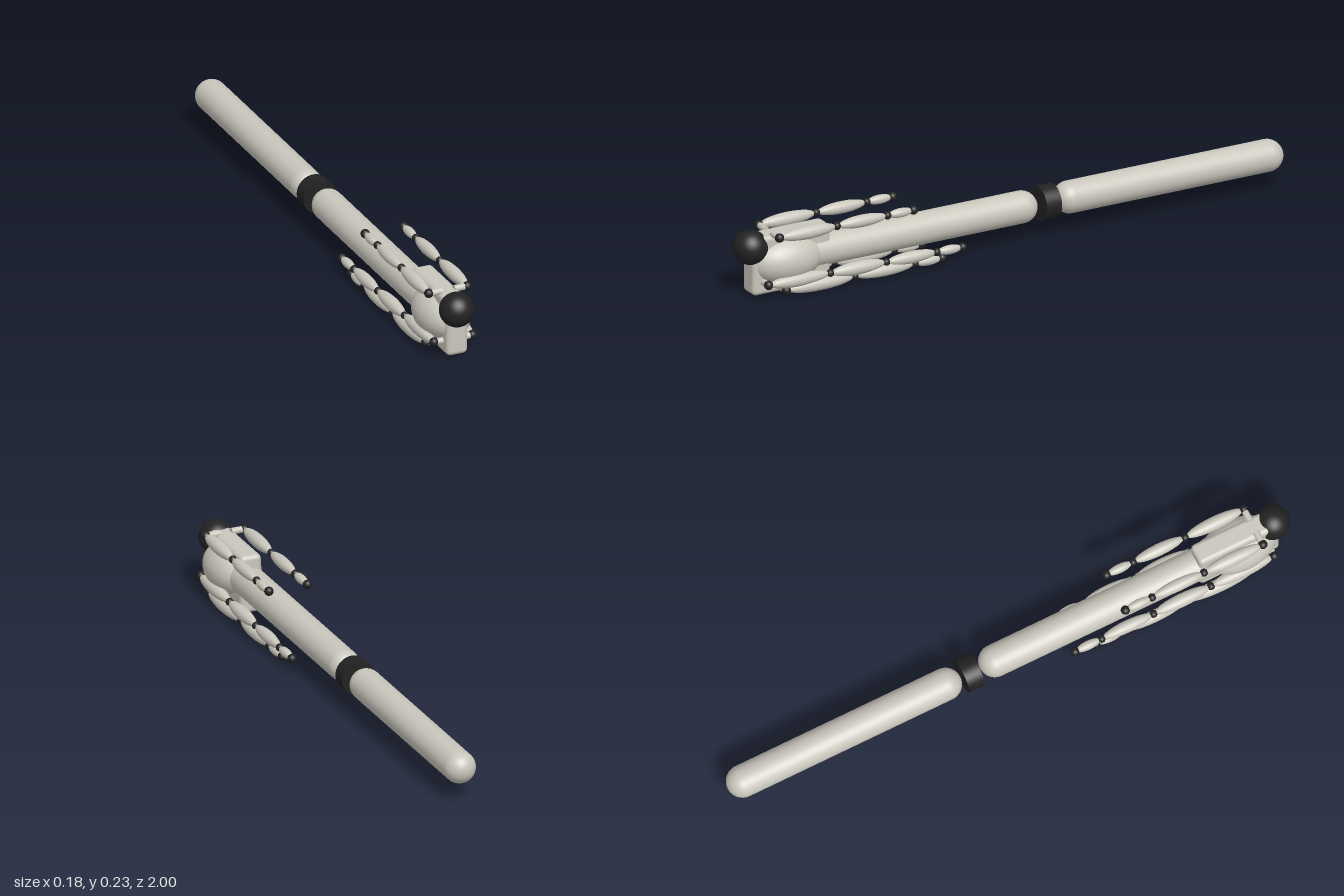
import * as THREE from 'three';
import { RoundedBoxGeometry } from 'three/addons/geometries/RoundedBoxGeometry.js';

export function createModel() {
  const model = new THREE.Group();
  const shell = new THREE.MeshStandardMaterial({ color: 0xc9c6bc });
  shell.name = 'pale grey shell';
  const dark = new THREE.MeshStandardMaterial({ color: 0x222222 });
  dark.name = 'black joint';

  const add = (parent, name, geometry, material, x, y, z) => {
    const mesh = new THREE.Mesh(geometry, material);
    mesh.name = name;
    mesh.position.set(x, y, z);
    parent.add(mesh);
    return mesh;
  };

  // Long capsule lying along z between two ends
  const capsule = (name, z0, z1, r) => add(model, name,
    new THREE.CapsuleGeometry(r, z1 - z0 - 2 * r, 12, 40).rotateX(Math.PI / 2),
    shell, 0, 0.113, (z0 + z1) / 2);

  // Body: boom, coupling and tail
  capsule('tail', -1, -0.17, 0.053);
  capsule('boom', -0.1, 0.88, 0.053);
  add(model, 'couplingRing', new THREE.CylinderGeometry(0.057, 0.057, 0.055, 40).rotateX(Math.PI / 2),
    dark, 0, 0.113, -0.138);

  // Head block, bulging sides and sensor ball
  add(model, 'headBlock', new RoundedBoxGeometry(0.074, 0.197, 0.285, 4, 0.016), shell, 0, 0.11, 0.81);
  add(model, 'sideBulge', new THREE.SphereGeometry(1, 40, 28).scale(0.086, 0.081, 0.13), shell, 0, 0.11, 0.82);
  add(model, 'sensorBall', new THREE.SphereGeometry(0.057, 40, 28), dark, 0, 0.169, 0.943);

  // Folded limbs: each row gives the z of every joint, ending at the tip
  const limbs = [
    { name: 'upperLimb', y0: 0.21, y1: 0.21, joints: [0.875, 0.665, 0.48, 0.385] },
    { name: 'middleLimb', y0: 0.056, y1: 0.048, joints: [0.915, 0.69, 0.485, 0.3, 0.205] },
    { name: 'lowerLimb', y0: 0.026, y1: 0.026, joints: [0.85, 0.6, 0.38, 0.28] },
  ];
  const limbX = 0.067;
  for (const side of [1, -1]) {
    for (const { name, y0, y1, joints } of limbs) {
      const limb = new THREE.Group();
      limb.name = (side > 0 ? 'left ' : 'right ') + name;
      model.add(limb);
      const last = joints.length - 1;
      const yAt = (z) => y0 + (y1 - y0) * (joints[0] - z) / (joints[0] - joints[last]);

      // Short axle from the block to the first joint
      add(limb, 'axle', new THREE.CylinderGeometry(0.011, 0.011, 0.046, 20).rotateZ(Math.PI / 2),
        shell, side * 0.044, y0, joints[0]);

      joints.forEach((z, i) => {
        const r = i === 0 || i === last ? 0.015 : 0.013;
        add(limb, i === last ? 'tip' : 'joint', new THREE.SphereGeometry(r, 20, 14),
          dark, side * limbX, yAt(z), z);
        if (i === last) return;
        // Spindle segment to the next joint
        const next = joints[i + 1];
        const mid = (z + next) / 2;
        const girth = i === last - 1 ? 0.015 : i === last - 2 ? 0.02 : 0.022;
        add(limb, 'segment', new THREE.SphereGeometry(1, 24, 18).scale(girth, girth, (z - next) / 2 - 0.004),
          shell, side * limbX, yAt(mid), mid);
      });
    }
  }
  return model;
}
